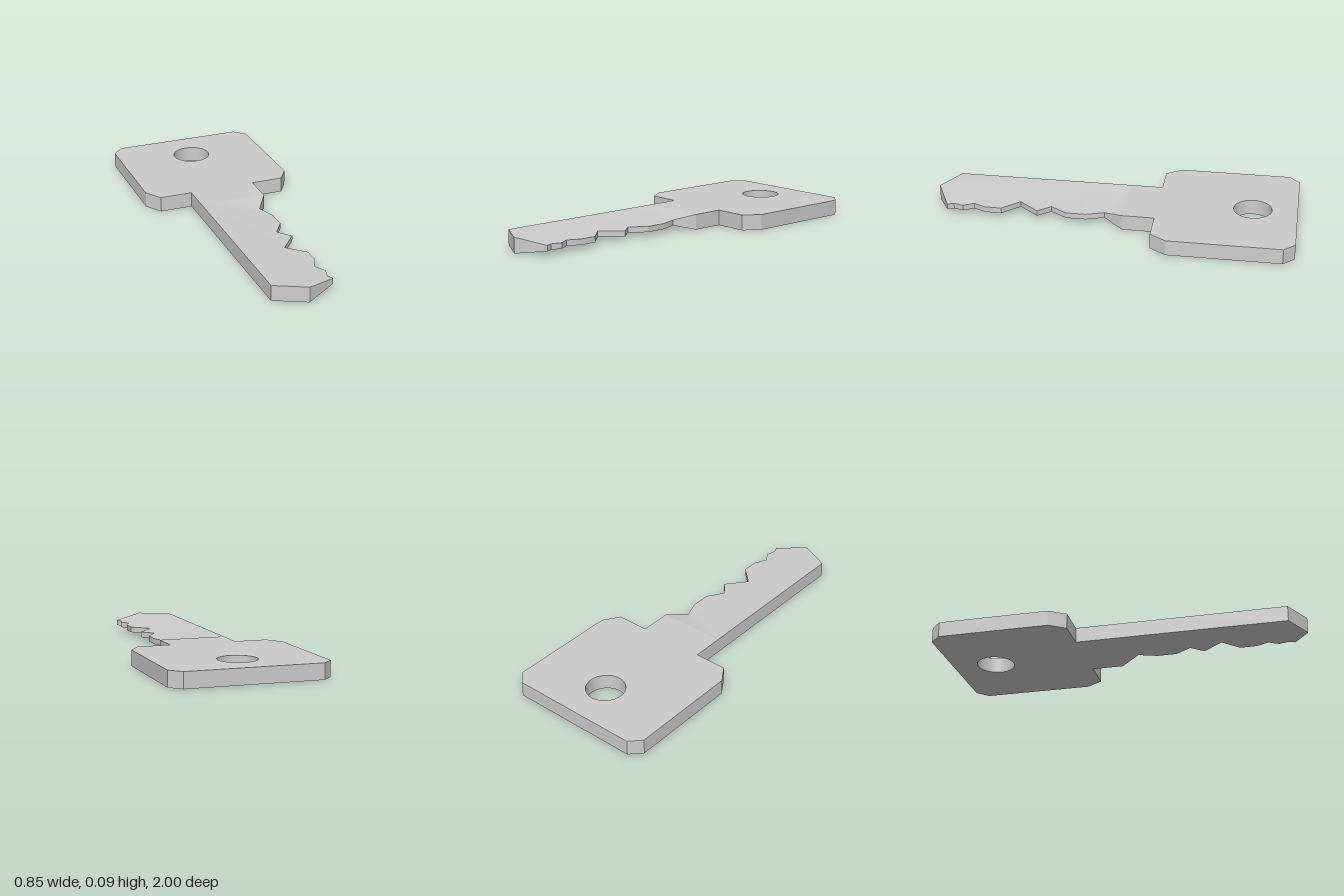
import * as THREE from 'three';
import { toCreasedNormals } from 'three/addons/utils/BufferGeometryUtils.js';

const THICK = 0.085;

// Outline given as [x, z] pairs, extruded upward from y = 0
function plate(outline, hole) {
  const shape = new THREE.Shape(outline.map(([x, z]) => new THREE.Vector2(x, -z)));
  if (hole) shape.holes.push(hole);
  const geo = new THREE.ExtrudeGeometry(shape, { depth: THICK, bevelEnabled: false, curveSegments: 32 });
  return geo.rotateX(-Math.PI / 2);
}

export function createModel() {
  const group = new THREE.Group();
  group.name = 'key';
  const material = new THREE.MeshStandardMaterial({ color: 0xcccccc });
  const add = (name, geo) => {
    const mesh = new THREE.Mesh(toCreasedNormals(geo, 0.5), material);
    mesh.name = name;
    group.add(mesh);
  };

  // Head with chamfered corners, ring hole and the start of the shank
  const half = [[0.185, -0.065], [0.185, -0.24], [0.365, -0.24], [0.424, -0.33], [0.424, -0.94], [0.365, -1]];
  const mirrored = half.map(([x, z]) => [-x, z]).reverse();
  const hole = new THREE.Path().absarc(0, 0.757, 0.104, 0, Math.PI * 2, true);
  add('head', plate([...half, ...mirrored], hole));

  // Blade with the cut teeth along its left edge
  const teeth = [
    [0.15, 0.915], [0.135, 0.88], [0.15, 0.825], [0.118, 0.77], [0.15, 0.70], [0.15, 0.61],
    [0.058, 0.52], [0.15, 0.41], [0.09, 0.34], [0.15, 0.25], [0.15, 0.14], [0.115, 0.04],
  ];
  const blade = plate([[-0.185, -0.065], [-0.185, 0.915], [-0.015, 1], ...teeth, [0.185, -0.065]]);

  // Thin the toothed edge
  const p = blade.attributes.position;
  for (let i = 0; i < p.count; i++) {
    if (p.getX(i) > 0 && p.getZ(i) > 0) p.setY(i, p.getY(i) > THICK / 2 ? 0.058 : 0.027);
  }
  blade.computeVertexNormals();
  add('blade', blade);

  return group;
}
